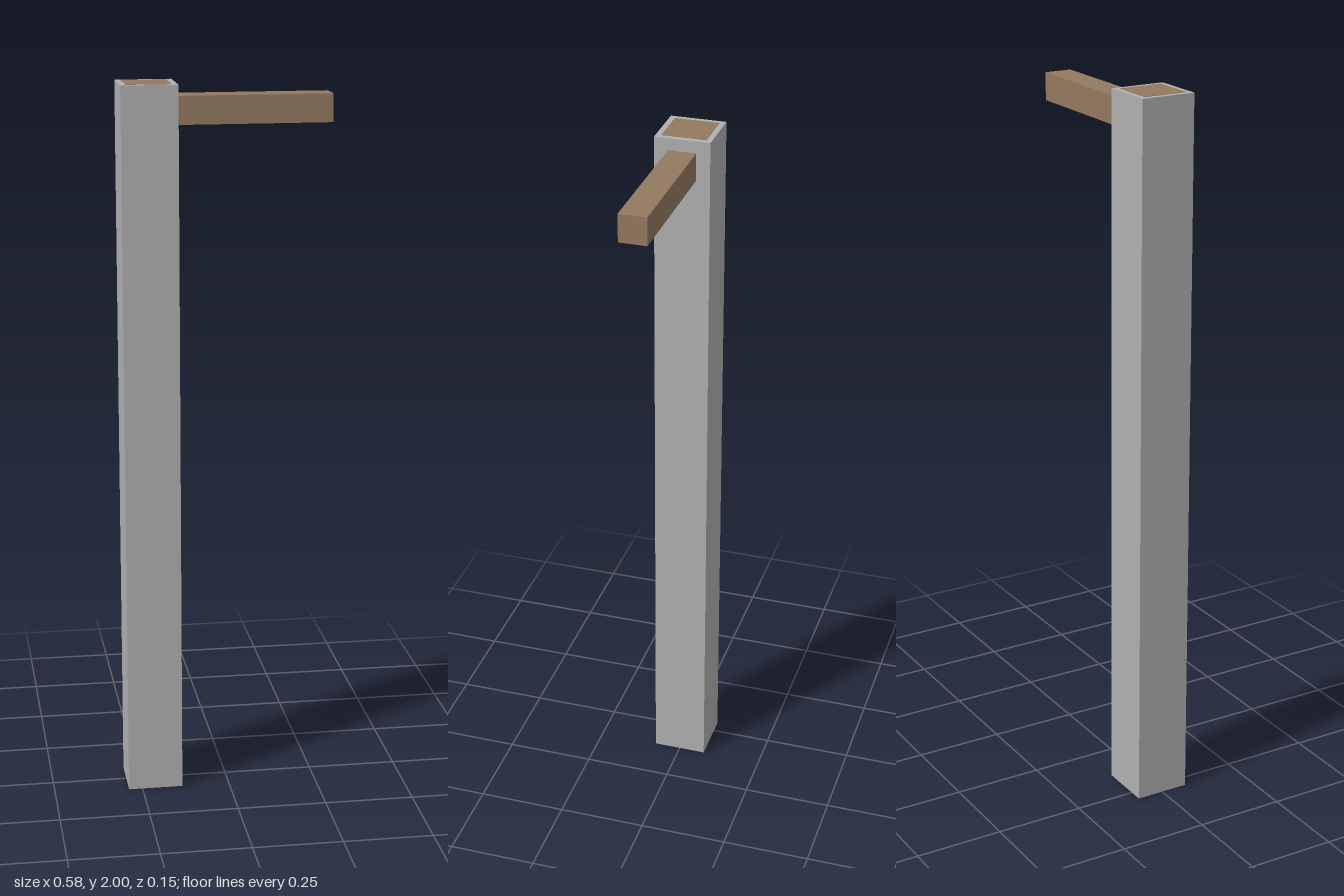
import * as THREE from 'three';

export function createModel() {
  const group = new THREE.Group();
  const casing = new THREE.MeshStandardMaterial({ color: 0xb0b0b0 });
  casing.name = 'grey casing';
  const wood = new THREE.MeshStandardMaterial({ color: 0x937a60 });
  wood.name = 'brown wood';

  const box = (name, material, size, position) => {
    const mesh = new THREE.Mesh(new THREE.BoxGeometry(...size), material);
    mesh.name = name;
    mesh.position.set(...position);
    group.add(mesh);
  };

  const postX = -0.212;
  // Upright post
  box('post', casing, [0.154, 1.999, 0.154], [postX, 0.9995, 0]);
  // Wooden core showing at the top of the post
  box('postCore', wood, [0.123, 0.004, 0.123], [postX, 1.998, 0]);
  // Side arm, butted against the post
  box('arm', wood, [0.424, 0.077, 0.077], [0.077, 1.927, 0]);

  return group;
}
